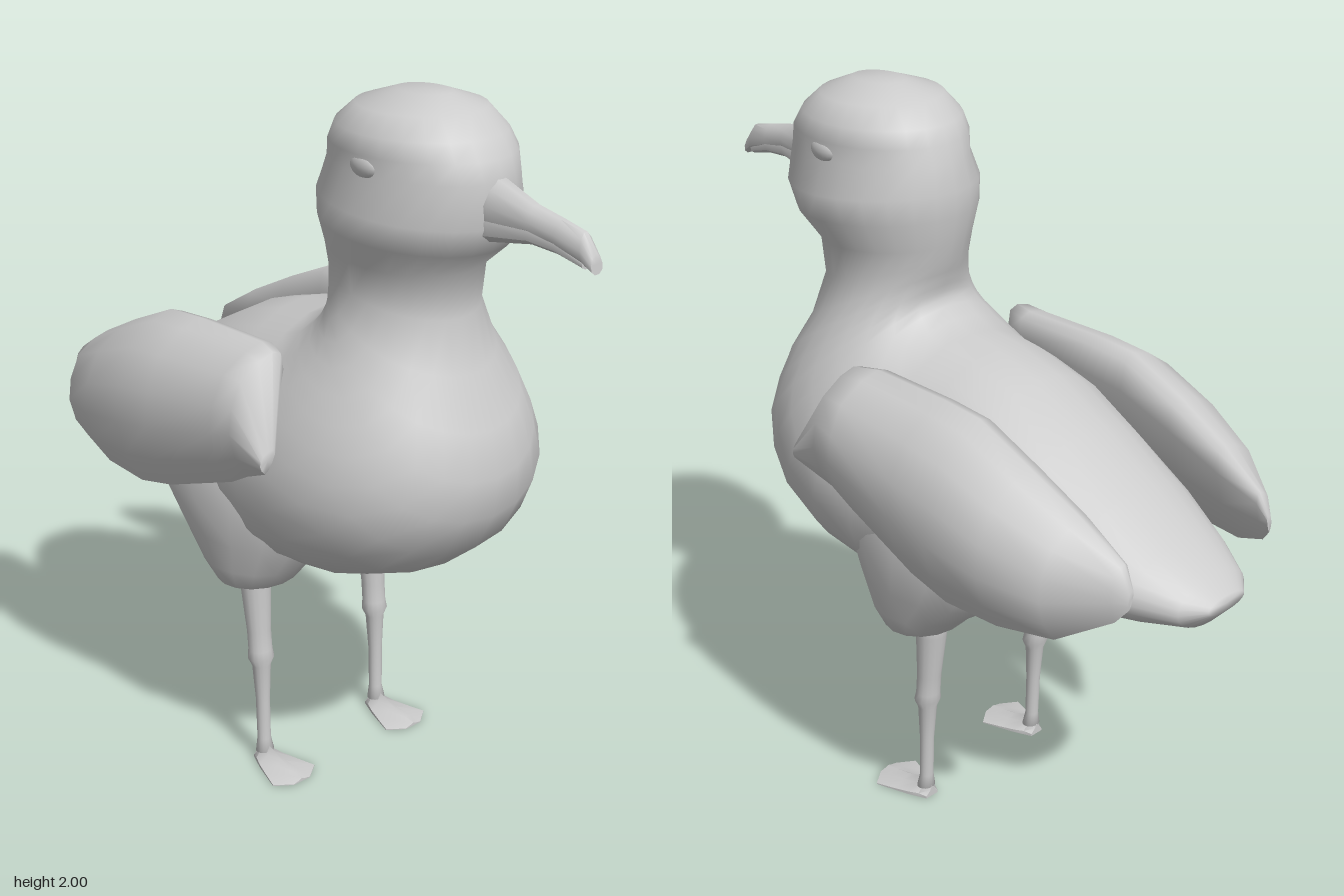
import * as THREE from 'three';
import { toCreasedNormals } from 'three/addons/utils/BufferGeometryUtils.js';

const grey = new THREE.MeshStandardMaterial({ color: 0xcccccc });

// Oval ring spanning two side-profile points [z, y]; k makes it pear-shaped
function ring([z1, y1], [z2, y2], w, k = 0, cx = 0, n = 24) {
  const pts = [];
  for (let i = 0; i < n; i++) {
    const a = (i / n) * Math.PI * 2, s = Math.sin(a);
    pts.push(new THREE.Vector3(
      cx + w * Math.cos(a) * (1 - k * s),
      (y1 + y2) / 2 + ((y1 - y2) / 2) * s,
      (z1 + z2) / 2 + ((z1 - z2) / 2) * s));
  }
  return pts;
}

// Closed skin over a series of rings, with outward faces
function loft(rings, crease = 0) {
  const n = rings[0].length, pts = rings.flat(), idx = [];
  for (let r = 0; r < rings.length - 1; r++) {
    for (let i = 0; i < n; i++) {
      const a = r * n + i, b = r * n + (i + 1) % n;
      idx.push(a, b, b + n, a, b + n, a + n);
    }
  }
  const last = (rings.length - 1) * n;
  for (const [start, flip] of [[0, true], [last, false]]) {
    const c = new THREE.Vector3();
    for (let i = 0; i < n; i++) c.addScaledVector(pts[start + i], 1 / n);
    const ci = pts.push(c) - 1;
    for (let i = 0; i < n; i++) {
      const a = start + i, b = start + (i + 1) % n;
      idx.push(ci, flip ? b : a, flip ? a : b);
    }
  }
  // Turn the faces outward when the enclosed volume is negative
  let vol = 0;
  const t = new THREE.Vector3();
  for (let i = 0; i < idx.length; i += 3) {
    vol += pts[idx[i]].dot(t.crossVectors(pts[idx[i + 1]], pts[idx[i + 2]]));
  }
  if (vol < 0) idx.reverse();
  const g = new THREE.BufferGeometry().setFromPoints(pts);
  g.setIndex(idx);
  g.computeVertexNormals();
  return crease ? toCreasedNormals(g, crease) : g;
}

function add(parent, name, geometry) {
  const m = new THREE.Mesh(geometry, grey);
  m.name = name;
  parent.add(m);
  return m;
}

// Tail, body, neck and head: back point, belly/front point, half width, pear
const BODY = [
  [[-0.90, 0.94], [-0.905, 0.90], 0.07, 0], [[-0.85, 0.98], [-0.86, 0.85], 0.13, 0],
  [[-0.75, 1.03], [-0.74, 0.825], 0.195, 0], [[-0.60, 1.12], [-0.58, 0.79], 0.25, 0],
  [[-0.42, 1.22], [-0.36, 0.745], 0.30, 0], [[-0.25, 1.31], [-0.22, 0.70], 0.34, 0.05],
  [[-0.10, 1.355], [-0.05, 0.66], 0.37, 0.1], [[0.00, 1.365], [0.10, 0.645], 0.39, 0.12],
  [[0.06, 1.39], [0.28, 0.68], 0.40, 0.14], [[0.09, 1.42], [0.45, 0.75], 0.385, 0.15],
  [[0.10, 1.44], [0.56, 0.84], 0.355, 0.15], [[0.10, 1.46], [0.62, 0.95], 0.32, 0.15],
  [[0.095, 1.48], [0.63, 1.06], 0.28, 0.12], [[0.09, 1.50], [0.60, 1.18], 0.245, 0.1],
  [[0.085, 1.52], [0.53, 1.31], 0.21, 0.05], [[0.075, 1.55], [0.49, 1.45], 0.185, 0],
  [[0.065, 1.60], [0.50, 1.57], 0.195, 0], [[0.05, 1.68], [0.58, 1.64], 0.23, 0],
  [[0.05, 1.75], [0.61, 1.71], 0.24, 0], [[0.065, 1.82], [0.61, 1.82], 0.205, 0],
  [[0.08, 1.87], [0.59, 1.87], 0.215, 0], [[0.10, 1.915], [0.56, 1.915], 0.20, 0],
  [[0.16, 1.965], [0.50, 1.965], 0.16, 0], [[0.26, 1.998], [0.42, 1.998], 0.06, 0],
];

// Beak halves: top point, bottom point, half width
const UPPER_BEAK = [
  [[0.56, 1.84], [0.56, 1.71], 0.06], [[0.61, 1.83], [0.61, 1.71], 0.056],
  [[0.72, 1.79], [0.72, 1.72], 0.038], [[0.80, 1.775], [0.80, 1.705], 0.032],
  [[0.87, 1.76], [0.88, 1.68], 0.026], [[0.905, 1.715], [0.91, 1.665], 0.02],
];
const LOWER_BEAK = [
  [[0.56, 1.79], [0.56, 1.665], 0.058], [[0.61, 1.785], [0.61, 1.675], 0.054],
  [[0.72, 1.765], [0.72, 1.695], 0.036], [[0.80, 1.75], [0.80, 1.69], 0.03],
  [[0.88, 1.71], [0.88, 1.672], 0.02],
];

// Wing stations: z, top, bottom, inner x, outer x; and a unit cross-section
const WING = [
  [0.225, 1.12, 1.06, 0.39, 0.44], [0.12, 1.33, 1.01, 0.27, 0.455],
  [0.05, 1.335, 0.97, 0.24, 0.465], [-0.2, 1.335, 0.88, 0.24, 0.487],
  [-0.33, 1.325, 0.85, 0.24, 0.49], [-0.5, 1.25, 0.85, 0.24, 0.475],
  [-0.66, 1.17, 0.865, 0.24, 0.42], [-0.79, 1.09, 0.94, 0.25, 0.31],
  [-0.82, 1.03, 0.98, 0.26, 0.28],
];
const WING_SECTION = [[0.05, 0.97], [0.2, 1], [0.45, 0.96], [0.78, 0.84], [0.95, 0.63],
  [1, 0.42], [0.9, 0.2], [0.68, 0], [0.45, 0.15], [0.2, 0.45], [0, 0.8]];

// Thigh and shank: y, front z, back z, half width, centre x
const THIGH = [
  [0.59, 0.00, -0.12, 0.07, 0.225], [0.61, 0.05, -0.16, 0.12, 0.225],
  [0.67, 0.10, -0.22, 0.15, 0.222], [0.75, 0.16, -0.33, 0.17, 0.21],
  [0.86, 0.22, -0.44, 0.20, 0.195], [0.98, 0.22, -0.46, 0.21, 0.16],
  [1.10, 0.10, -0.30, 0.15, 0.14],
];
const SHANK = [
  [0.64, -0.03, -0.125, 0.048, 0.22], [0.56, -0.032, -0.115, 0.045, 0.22],
  [0.42, -0.03, -0.095, 0.036, 0.22], [0.36, -0.025, -0.09, 0.036, 0.22],
  [0.335, -0.02, -0.09, 0.04, 0.22], [0.31, -0.028, -0.08, 0.028, 0.22],
  [0.20, -0.03, -0.07, 0.021, 0.22], [0.07, -0.028, -0.066, 0.02, 0.22],
  [0.03, -0.02, -0.068, 0.028, 0.22],
];

// Webbed foot stations: z, half width, ridge height
const FOOT = [[-0.068, 0.022, 0.035], [-0.045, 0.032, 0.06], [-0.015, 0.045, 0.045],
  [0.03, 0.06, 0.028], [0.085, 0.078, 0.016], [0.12, 0.03, 0.01]];

function wing(side) {
  return loft(WING.map(([z, top, bot, xi, xo]) => WING_SECTION.map(([fx, fy]) =>
    new THREE.Vector3(side * (xi + (xo - xi) * fx), bot + (top - bot) * fy, z))), 1.2);
}

function upright(list, side) {
  return loft(list.map(([y, zf, zb, w, cx]) => ring([zf, y], [zb, y], w, 0, side * cx, 16)));
}

function foot(side) {
  const section = [[-1, 0], [-1, 0.2], [-0.3, 0.6], [0, 1], [0.3, 0.6], [1, 0.2], [1, 0]];
  return loft(FOOT.map(([z, w, h]) => section.map(([fx, fy]) =>
    new THREE.Vector3(side * 0.22 + fx * w, fy * h, z))), 0.7);
}

export function createModel() {
  const bird = new THREE.Group();
  bird.name = 'bird';

  add(bird, 'body', loft(BODY.map(([a, b, w, k]) => ring(a, b, w, k))));

  const beak = new THREE.Group();
  beak.name = 'beak';
  bird.add(beak);
  for (const [name, list] of [['upperBeak', UPPER_BEAK], ['lowerBeak', LOWER_BEAK]]) {
    add(beak, name, loft(list.map(([a, b, w]) => ring(a, b, w, 0.25, 0, 10)), 0.8));
  }

  // Mirrored parts
  for (const [name, side] of [['left', 1], ['right', -1]]) {
    add(bird, name + 'Wing', wing(side));

    const eye = add(bird, name + 'Eye', new THREE.SphereGeometry(1, 16, 10));
    eye.scale.set(0.02, 0.03, 0.046);
    eye.position.set(side * 0.198, 1.842, 0.34);

    const leg = new THREE.Group();
    leg.name = name + 'Leg';
    bird.add(leg);
    add(leg, 'thigh', upright(THIGH, side));
    add(leg, 'shank', upright(SHANK, side));
    add(leg, 'foot', foot(side));
  }
  return bird;
}
